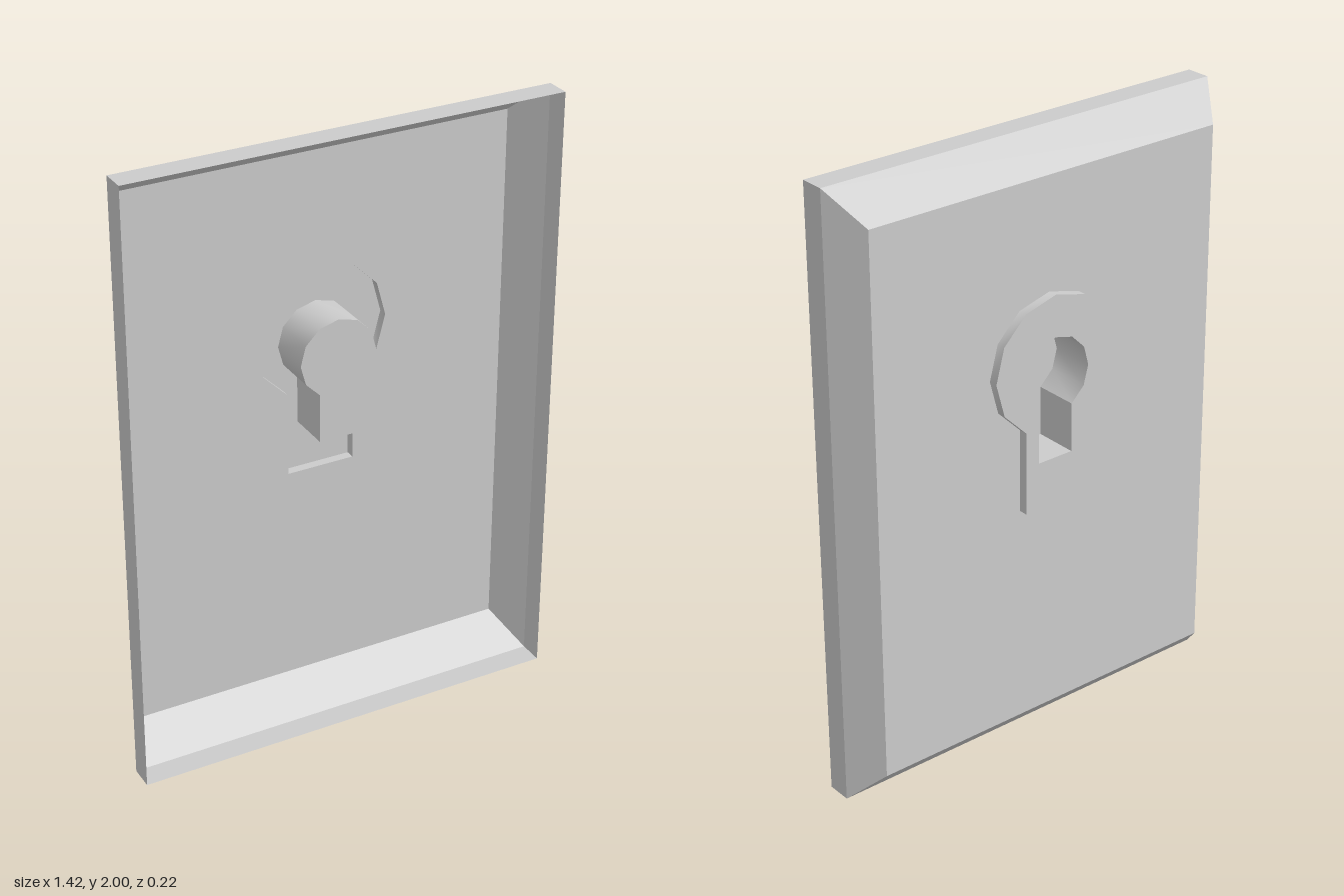
import * as THREE from 'three';
import { toCreasedNormals } from 'three/addons/utils/BufferGeometryUtils.js';

const material = new THREE.MeshStandardMaterial({ color: 0xcccccc, side: THREE.DoubleSide });

// Depths of the pressed sheet, from the open rim to the raised keyhole collar
const RIM = 0.11, FOLD = 0.03, PLATE = -0.08, COLLAR = -0.11, PLUG = 0.035;

// Counter-clockwise rectangle
function rectLoop(halfWidth, bottom, top) {
  return [[-halfWidth, bottom], [halfWidth, bottom], [halfWidth, top], [-halfWidth, top]]
    .map(([x, y]) => new THREE.Vector2(x, y));
}

// Counter-clockwise keyhole: ten sides of a 12-gon above a straight slot
function keyholeLoop(centerY, radius, bottom) {
  const loop = [];
  for (let i = 0; i <= 10; i++) {
    const a = THREE.MathUtils.degToRad(-60 + i * 30);
    loop.push(new THREE.Vector2(radius * Math.cos(a), centerY + radius * Math.sin(a)));
  }
  const half = radius / 2;
  loop.push(new THREE.Vector2(-half, bottom), new THREE.Vector2(half, bottom));
  return loop;
}

// Wall joining loop a at depth za to loop b at depth zb
function wall(name, a, za, b, zb) {
  const positions = [];
  a.forEach((p, i) => {
    const j = (i + 1) % a.length;
    const a0 = [p.x, p.y, za], a1 = [a[j].x, a[j].y, za];
    const b0 = [b[i].x, b[i].y, zb], b1 = [b[j].x, b[j].y, zb];
    positions.push(...a0, ...b0, ...b1, ...a0, ...b1, ...a1);
  });
  const geometry = new THREE.BufferGeometry();
  geometry.setAttribute('position', new THREE.Float32BufferAttribute(positions, 3));
  return makeMesh(name, toCreasedNormals(geometry, 0.6));
}

// Flat sheet at depth z, with an optional opening
function sheet(name, loop, z, hole) {
  const shape = new THREE.Shape(loop);
  if (hole) shape.holes.push(new THREE.Path(hole));
  return makeMesh(name, new THREE.ShapeGeometry(shape).translate(0, 0, z));
}

function makeMesh(name, geometry) {
  const mesh = new THREE.Mesh(geometry, material);
  mesh.name = name;
  return mesh;
}

export function createModel() {
  const model = new THREE.Group();
  model.name = 'keyholePlate';

  const outer = rectLoop(0.71, 0, 2);
  const inner = rectLoop(0.635, 0.11, 1.895);
  const collar = keyholeLoop(1.31, 0.223, 0.843);
  const keyhole = keyholeLoop(1.27, 0.127, 1.0);

  // Hollow cover, open at the front
  model.add(
    wall('rim', outer, RIM, outer, FOLD),
    wall('bevel', outer, FOLD, inner, PLATE),
    sheet('plate', inner, PLATE, collar),
  );

  // Raised collar and the keyhole pocket pressed through it
  model.add(
    wall('collarWall', collar, PLATE, collar, COLLAR),
    sheet('collarFace', collar, COLLAR, keyhole),
    wall('keyholeWall', keyhole, PLUG, keyhole, COLLAR),
    sheet('keyholeEnd', keyhole, PLUG),
  );
  return model;
}
